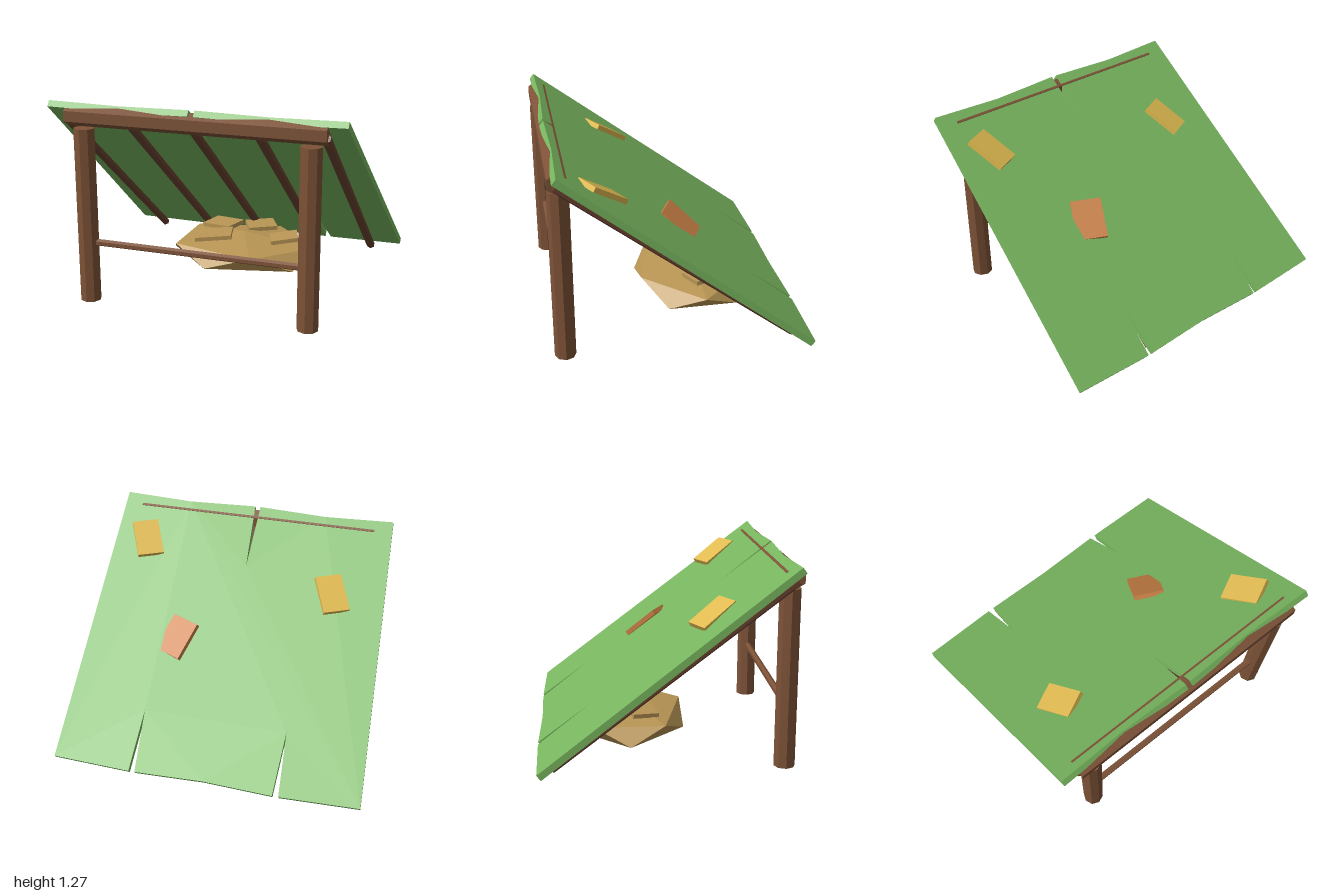
import * as THREE from 'three';
import { ConvexGeometry } from 'three/addons/geometries/ConvexGeometry.js';

const mat = (name, color) => {
  const m = new THREE.MeshStandardMaterial({ color, flatShading: true });
  m.name = name;
  return m;
};

export function createModel() {
  const root = new THREE.Group();
  root.name = 'leanToShelter';
  const wood = mat('wood', 0x7d5237);
  const darkWood = mat('darkWood', 0x68412e);
  const canvas = mat('greenCanvas', 0x78b65f);
  const straw = mat('straw', 0xb89554);
  const gold = mat('goldPatch', 0xdfba50);
  const orange = mat('orangePatch', 0xc98045);

  const add = (parent, name, geo, material, x = 0, y = 0, z = 0) => {
    const m = new THREE.Mesh(geo, material);
    m.name = name;
    m.position.set(x, y, z);
    parent.add(m);
    return m;
  };
  // Hexagonal bar lying along x with a corner pointing up
  const bar = (r, length) =>
    new THREE.CylinderGeometry(r, r, length, 6).rotateY(Math.PI / 6).rotateZ(Math.PI / 2);

  // Upright posts, ridge beam and cross rail
  for (const s of [-1, 1]) {
    add(root, s > 0 ? 'leftPost' : 'rightPost',
      new THREE.CylinderGeometry(0.066, 0.066, 1.11, 8), wood, s * 0.709, 0.555, 0.72);
  }
  add(root, 'ridgeBeam', bar(0.065, 1.62), wood, 0, 1.1875, 0.728);
  add(root, 'crossRail', bar(0.022, 1.36), wood, 0, 0.385, 0.72);

  // Sloping roof frame: local y runs up the slope, local z points down through the roof
  const slope = 0.656;
  const roof = new THREE.Group();
  roof.name = 'roof';
  roof.position.set(0, 0.685, -0.02);
  roof.rotation.x = Math.PI / 2 - slope;
  root.add(roof);

  // Canvas sheet with one slit in the top edge and two in the bottom edge
  const half = [
    [0.018, 0.96], [0.47, 0.942], [0.925, 0.96], [1, -0.955],
    [0.49, -0.97], [0.47, -0.56], [0.45, -0.97],
  ];
  const outline = [
    [0, 0.52], ...half, [0, -0.955],
    ...half.slice().reverse().map(([x, y]) => [-x, y]),
  ].map(([x, y]) => new THREE.Vector2(x, y));
  add(roof, 'canvasSheet', new THREE.ExtrudeGeometry(new THREE.Shape(outline),
    { depth: 0.042, bevelEnabled: false }), canvas);

  // Rafters below the sheet
  for (const x of [-0.8, -0.4, 0, 0.4, 0.8]) {
    add(roof, 'rafter', new THREE.CylinderGeometry(0.028, 0.028, 1.82, 6), darkWood, x, -0.008, 0.085);
  }

  // Patches: tilted with the slope, then turned about the vertical
  const patches = [
    [gold, -0.606, 0.94, 0.28, 0.175, 0.46, 0.56],
    [gold, 0.709, 1.082, 0.463, 0.175, 0.46, 0.56],
    [orange, 0.36, 0.667, -0.06, 0.2, -0.45, 0.7],
  ];
  for (const [m, x, y, z, w, yaw, tilt] of patches) {
    const p = add(root, 'roofPatch', new THREE.BoxGeometry(w, 0.032, 0.26), m, x, y, z);
    // Negative x rotation raises the +z end
    p.rotation.set(-tilt, yaw, 0, 'YXZ');
  }

  // Bedding heap: a flattened twenty-sided stone shape
  const pts = [new THREE.Vector3(0, 0, 0), new THREE.Vector3(0, 0.23, 0)];
  for (let i = 0; i < 5; i++) {
    const a = (i / 5) * Math.PI * 2;
    pts.push(new THREE.Vector3(0.515 * Math.cos(a), 0.165, 0.384 * Math.sin(a)));
    pts.push(new THREE.Vector3(-0.515 * Math.cos(a), 0.062, 0.384 * Math.sin(a)));
  }
  add(root, 'beddingHeap', new ConvexGeometry(pts), straw, 0, 0, -0.21);

  // Loose slabs on the heap: x, y, z, width, depth, yaw, roll
  const slabs = [
    [-0.19, 0.21, -0.13, 0.25, 0.17, 0.25, 0.1],
    [-0.2, 0.222, -0.35, 0.24, 0.17, -0.35, 0.08],
    [0.07, 0.225, -0.39, 0.2, 0.16, 0.5, 0.02],
    [0.29, 0.215, -0.21, 0.19, 0.15, 0.35, 0.14],
  ];
  for (const [x, y, z, w, d, yaw, roll] of slabs) {
    add(root, 'beddingSlab', new THREE.BoxGeometry(w, 0.028, d), straw, x, y, z)
      .rotation.set(0.05, yaw, roll, 'YXZ');
  }
  return root;
}
